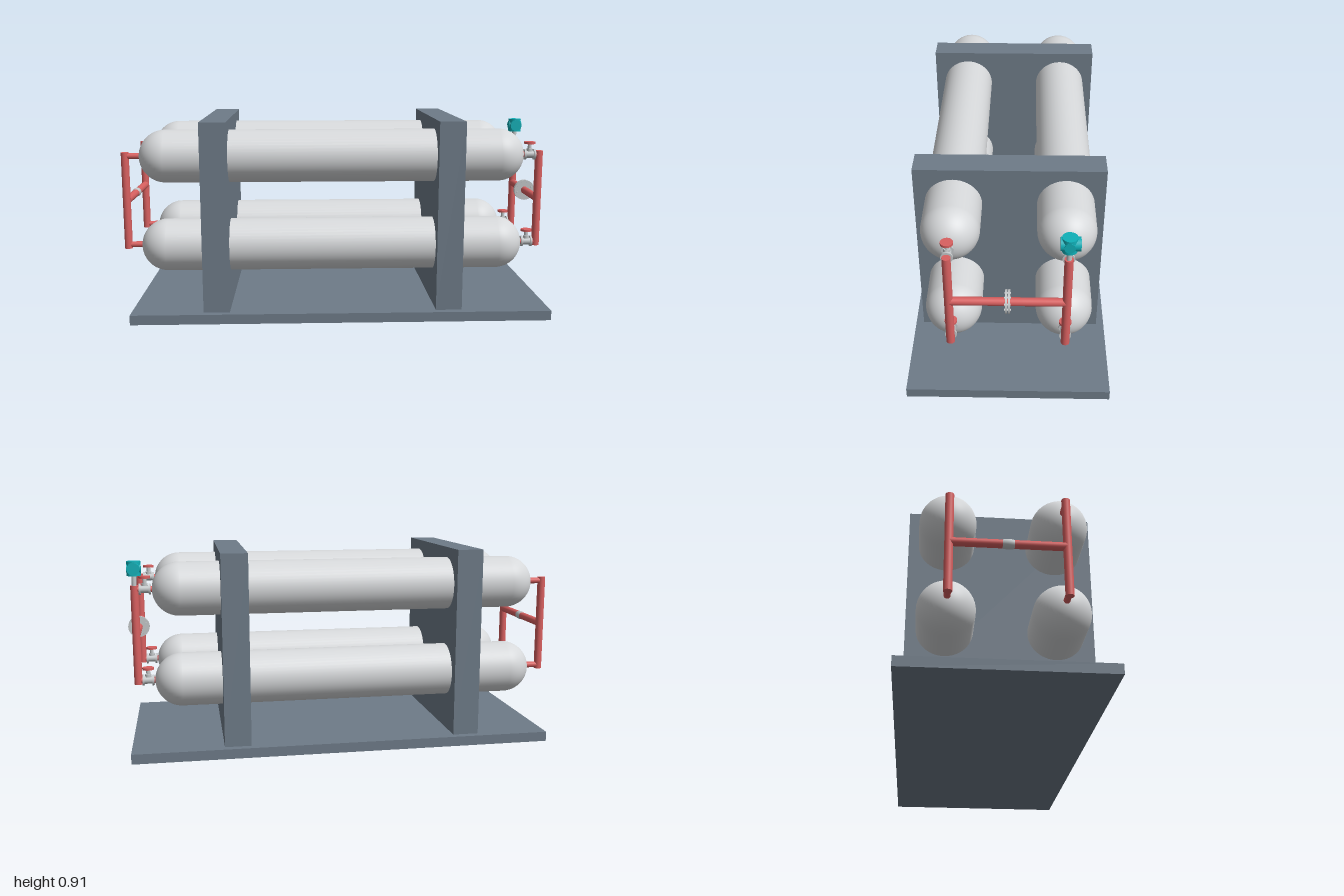
import * as THREE from 'three';

const mat = (name, color) => {
  const m = new THREE.MeshStandardMaterial({ color });
  m.name = name;
  return m;
};

export function createModel() {
  const slate = mat('slate steel', 0x6e7b88);
  const silver = mat('tank silver', 0xd6d8da);
  const metal = mat('fitting grey', 0xc4c8ca);
  const red = mat('pipe red', 0xd86060);
  const teal = mat('transmitter teal', 0x10b0b8);

  const model = new THREE.Group();
  model.name = 'gasStorageRack';

  const add = (name, geometry, material, x, y, z, parent = model) => {
    const mesh = new THREE.Mesh(geometry, material);
    mesh.name = name;
    mesh.position.set(x, y, z);
    parent.add(mesh);
    return mesh;
  };

  // Cylinder centred on a point, running along the given axis
  const rod = (name, axis, r, length, material, x, y, z, parent = model) => {
    const g = new THREE.CylinderGeometry(r, r, length, 28);
    if (axis === 'x') g.rotateZ(-Math.PI / 2);
    if (axis === 'z') g.rotateX(Math.PI / 2);
    return add(name, g, material, x, y, z, parent);
  };

  const rows = [0.33, 0.747];
  const sides = [-0.238, 0.238];
  const midY = 0.538;
  const leftX = 0.946;
  const rightX = -0.98;

  // Skid base and the two support plates
  add('basePlate', new THREE.BoxGeometry(1.93, 0.045, 0.88), slate, 0.015, 0.0225, 0);
  for (const x of [-0.56, 0.51]) {
    add('supportPlate', new THREE.BoxGeometry(0.12, 0.872, 0.81), slate, x, 0.479, 0);
  }

  // Domed pressure tanks
  const tankGeometry = new THREE.CapsuleGeometry(0.122, 1.541, 16, 48);
  tankGeometry.rotateZ(Math.PI / 2);

  // Valve with end flanges, bonnet, stem and handwheel
  const valve = (y, z) => {
    const group = new THREE.Group();
    group.name = 'valve';
    group.position.set(0.901, y, z);
    model.add(group);
    rod('valveBody', 'x', 0.017, 0.05, metal, 0, 0, 0, group);
    for (const x of [-0.022, 0.022]) rod('valveFlange', 'x', 0.025, 0.009, metal, x, 0, 0, group);
    rod('valveBonnet', 'y', 0.014, 0.012, metal, 0, 0.021, 0, group);
    rod('valveStem', 'y', 0.009, 0.05, metal, 0, 0.025, 0, group);
    rod('handwheel', 'y', 0.026, 0.01, red, 0, 0.054, 0, group);
  };

  for (const z of sides) {
    for (const y of rows) {
      add('tank', tankGeometry, silver, -0.022, y - 0.001, z);
      rod('outletPipe', 'x', 0.014, 0.1, red, 0.896, y, z);
      rod('inletPipe', 'x', 0.014, 0.09, red, -0.935, y, z);
      valve(y, z);
    }
    // Upright manifold pipes at both ends
    for (const x of [leftX, rightX]) rod('uprightPipe', 'y', 0.018, 0.452, red, x, midY, z);
  }

  // Cross pipes joining the uprights
  for (const x of [leftX, rightX]) rod('crossPipe', 'z', 0.0178, 0.476, red, x, midY, 0);

  // Bolted flange pair on the outlet cross pipe
  for (const z of [-0.006, 0.006]) rod('crossFlange', 'z', 0.05, 0.008, metal, leftX, midY, z);
  for (let i = 0; i < 8; i++) {
    const a = ((i + 0.5) / 8) * Math.PI * 2;
    rod('flangeBolt', 'z', 0.005, 0.026, metal,
      leftX + 0.036 * Math.cos(a), midY + 0.036 * Math.sin(a), 0);
  }

  // Tapered fitting on the inlet cross pipe
  const fitting = add('inletFitting', new THREE.SphereGeometry(1, 28, 18), metal, rightX, midY, 0);
  fitting.scale.set(0.021, 0.021, 0.046);

  // Pressure transmitter above the rear upright
  const tz = sides[0];
  rod('transmitterStem', 'y', 0.011, 0.06, metal, leftX, 0.787, tz);
  rod('transmitterHousing', 'y', 0.031, 0.065, teal, leftX, 0.841, tz);
  rod('transmitterBarrel', 'z', 0.028, 0.078, teal, leftX, 0.841, tz - 0.004);
  rod('transmitterPort', 'x', 0.022, 0.062, teal, leftX, 0.841, tz);

  return model;
}
